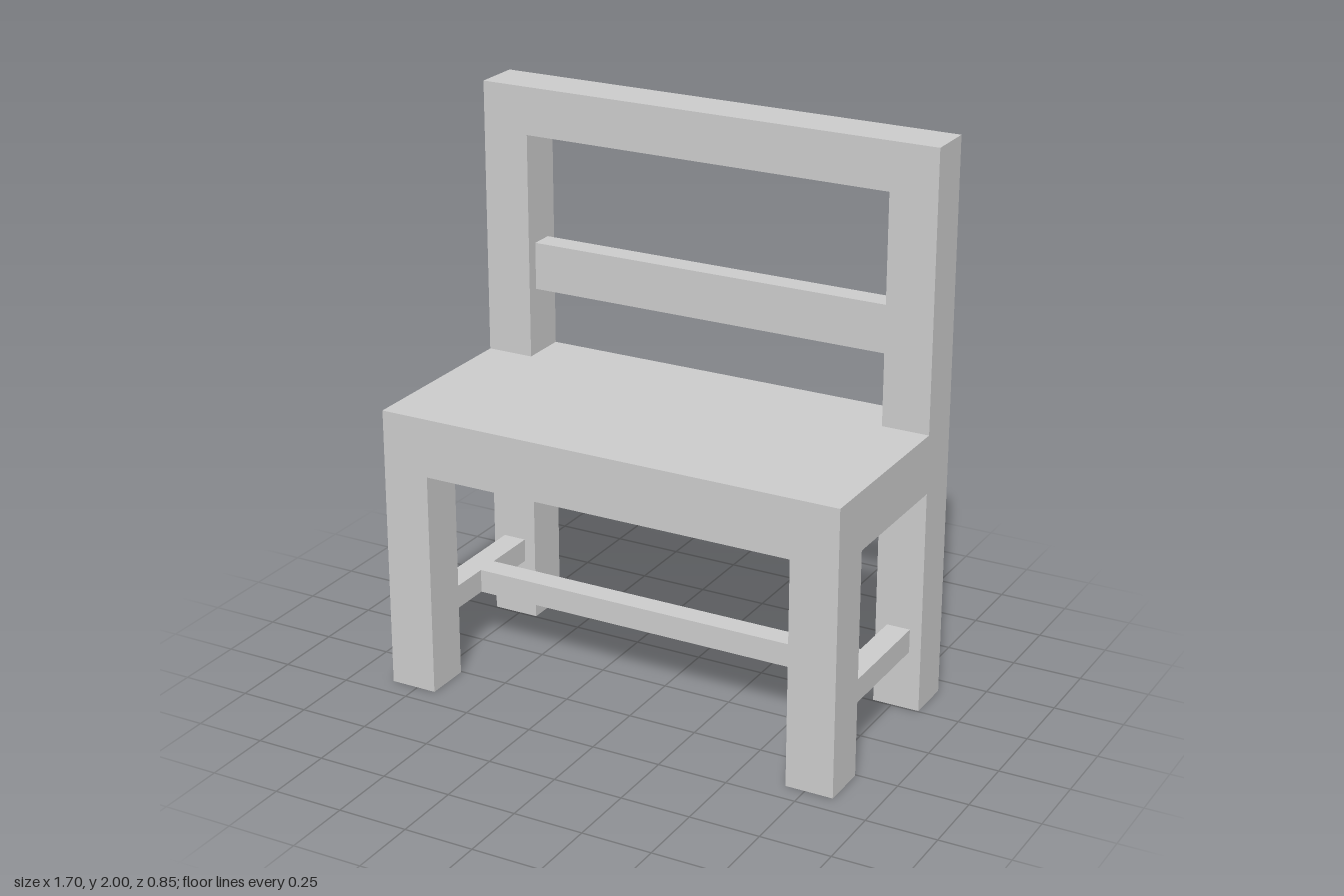
import * as THREE from 'three';

const W = 0.85, D = 0.425, T = 0.17; // half width, half depth, timber thickness
const SEAT_LOW = 0.81, SEAT_TOP = 1.02, HEIGHT = 2;

export function createModel() {
  const bench = new THREE.Group();
  bench.name = 'bench';
  const material = new THREE.MeshStandardMaterial({ color: 0xcccccc, flatShading: true });

  const add = (name, geometry) => {
    const mesh = new THREE.Mesh(geometry, material);
    mesh.name = name;
    bench.add(mesh);
  };
  // Box given by its lower and upper limits on each axis
  const block = (name, [x0, x1], [y0, y1], [z0, z1]) => add(name,
    new THREE.BoxGeometry(x1 - x0, y1 - y0, z1 - z0)
      .translate((x0 + x1) / 2, (y0 + y1) / 2, (z0 + z1) / 2));

  // Back frame: posts, top rail and rear seat rail in one piece
  const inner = W - T;
  const points = (list) => list.map(([x, y]) => new THREE.Vector2(x, y));
  const frame = new THREE.Shape(points([
    [-W, 0], [-inner, 0], [-inner, SEAT_LOW], [inner, SEAT_LOW],
    [inner, 0], [W, 0], [W, HEIGHT], [-W, HEIGHT],
  ]));
  frame.holes.push(new THREE.Path(points([
    [-inner, SEAT_TOP], [-inner, HEIGHT - T], [inner, HEIGHT - T], [inner, SEAT_TOP],
  ])));
  add('backFrame', new THREE.ExtrudeGeometry(frame, { depth: T, bevelEnabled: false })
    .translate(0, 0, -D));

  // Thin slat centred in the thickness of the back frame
  const backMid = -D + T / 2;
  block('backSlat', [-inner, inner], [1.26, 1.43], [backMid - T / 4, backMid + T / 4]);

  // Thick seat, flush with the legs
  block('seat', [-W, W], [SEAT_LOW, SEAT_TOP], [-D + T, D]);

  // Front legs and the side stretchers running to the back posts
  const low = [0.215, 0.3], legMid = W - T / 2;
  for (const [side, s] of [['left', 1], ['right', -1]]) {
    const span = (a, b) => (s > 0 ? [a, b] : [-b, -a]);
    block(side + 'FrontLeg', span(inner, W), [0, SEAT_LOW], [D - T, D]);
    block(side + 'Stretcher', span(legMid - T / 4, legMid + T / 4), low, [-D + T, D - T]);
  }

  // Long stretcher joining the two side stretchers
  const reach = legMid - T / 4;
  block('centreStretcher', [-reach, reach], low, [-T / 4, T / 4]);

  return bench;
}
